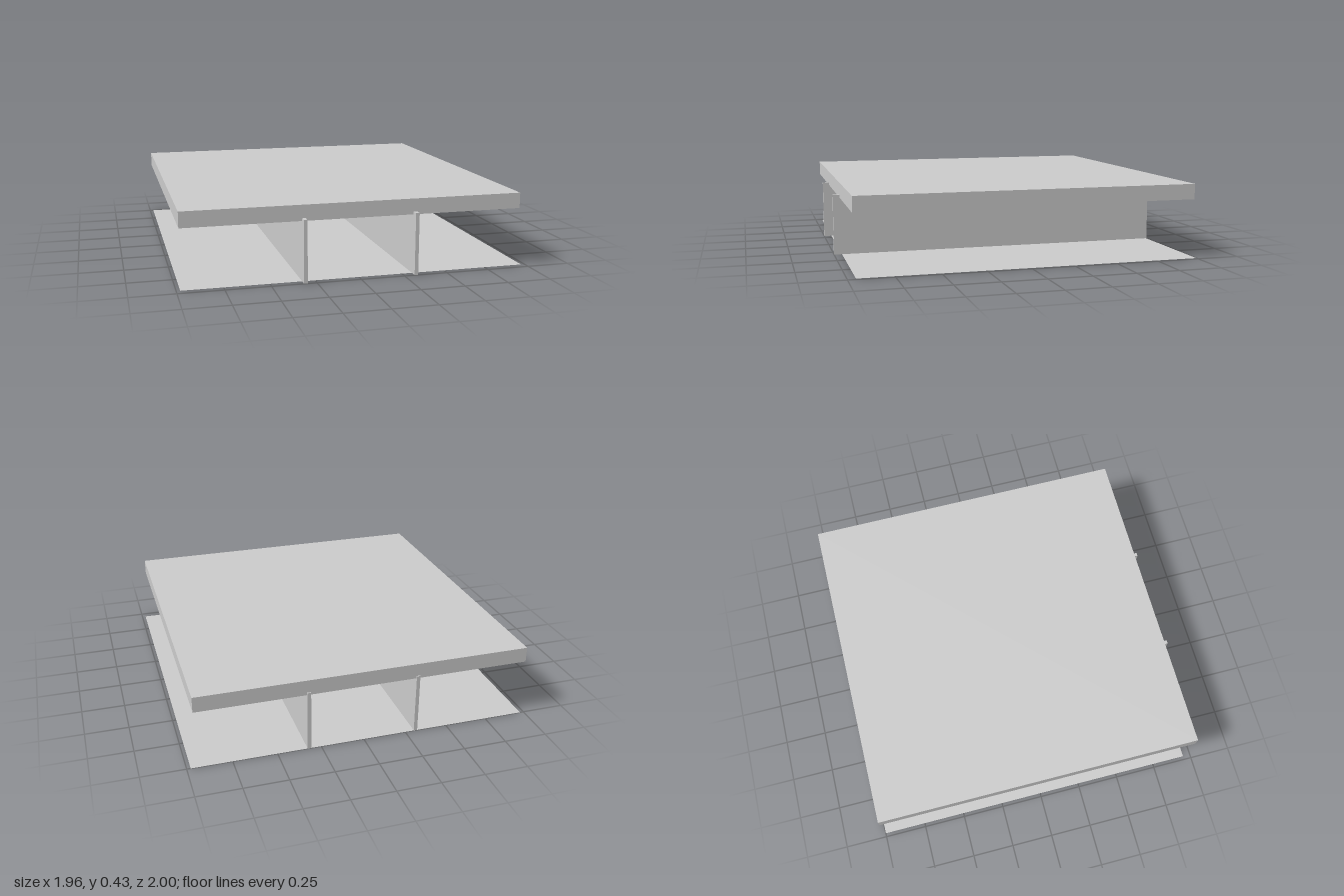
import * as THREE from 'three';

const grey = new THREE.MeshStandardMaterial({ color: 0xcccccc });
const sheet = new THREE.MeshStandardMaterial({ color: 0xcccccc, side: THREE.DoubleSide });

// Box given by its minimum and maximum corners
function boxBetween(name, [x0, y0, z0], [x1, y1, z1]) {
  const mesh = new THREE.Mesh(new THREE.BoxGeometry(x1 - x0, y1 - y0, z1 - z0), grey);
  mesh.position.set((x0 + x1) / 2, (y0 + y1) / 2, (z0 + z1) / 2);
  mesh.name = name;
  return mesh;
}

export function createModel() {
  const model = new THREE.Group();
  model.name = 'table';

  // Thick top slab, slightly off centre
  model.add(boxBetween('topSlab', [-0.978, 0.338, -0.993], [0.947, 0.427, 0.962]));

  // Two upright panels running front to back, let into the slab
  for (const [name, x] of [['leftPanel', 0.3185], ['rightPanel', -0.3125]]) {
    model.add(boxBetween(name, [x - 0.0105, 0.001, -1], [x + 0.0105, 0.353, 1]));
  }

  // Paper-thin ground sheet
  const base = new THREE.Mesh(new THREE.PlaneGeometry(1.957, 1.954), sheet);
  base.rotation.x = -Math.PI / 2;
  base.position.set(0, 0, -0.023);
  base.name = 'baseSheet';
  model.add(base);

  return model;
}
